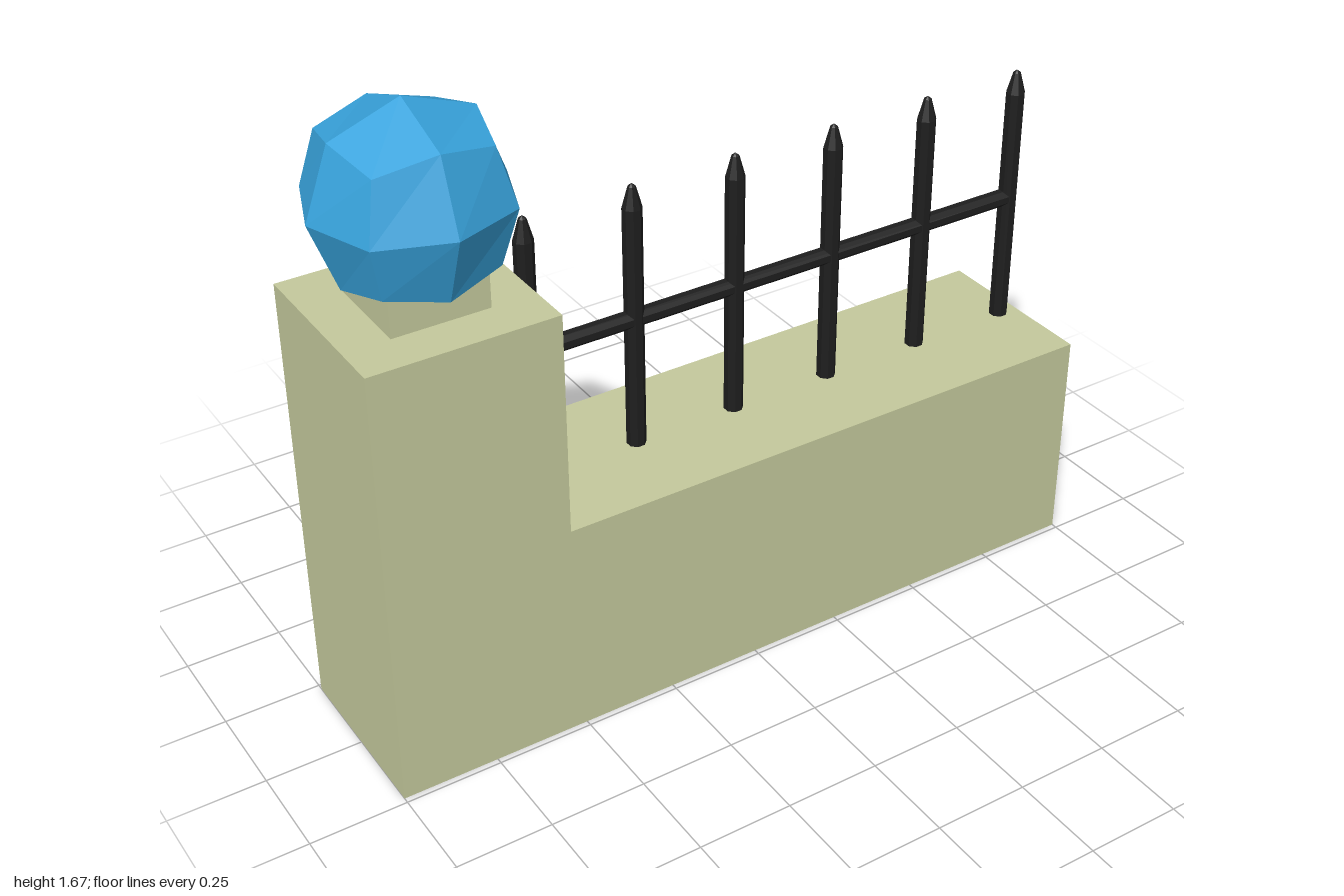
import * as THREE from 'three';

const flat = (color) => new THREE.MeshStandardMaterial({ color, flatShading: true });

export function createModel() {
  const model = new THREE.Group();
  model.name = 'fenceWall';
  const stone = flat(0xc4c99c), blue = flat(0x38a3dc), iron = flat(0x1e1e1e);

  const add = (name, geometry, material, x = 0, y = 0, z = 0, parent = model) => {
    const mesh = new THREE.Mesh(geometry, material);
    mesh.name = name;
    mesh.position.set(x, y, z);
    parent.add(mesh);
    return mesh;
  };

  // L-shaped wall: tall pillar and low wall in one piece
  const depth = 0.47;
  const outline = new THREE.Shape([
    [-1, 0], [1, 0], [1, 0.59], [-0.525, 0.59], [-0.525, 1.177], [-1, 1.177],
  ].map(([x, y]) => new THREE.Vector2(x, y)));
  add('wallAndPillar', new THREE.ExtrudeGeometry(outline, { depth, bevelEnabled: false }),
    stone, 0, 0, -depth / 2);

  // Square neck that carries the ball
  const ballX = -0.762;
  add('ballNeck', new THREE.BoxGeometry(0.245, 0.11, 0.245), stone, ballX, 1.225, 0);

  // Faceted ball: a 2x2x2 cube grid pushed out to a sphere
  const ball = new THREE.BoxGeometry(2, 2, 2, 2, 2, 2);
  const reach = [0, 0.24, 0.176, 0.144]; // face centres, edge middles, corners
  const pos = ball.attributes.position;
  for (let i = 0; i < pos.count; i++) {
    const p = new THREE.Vector3().fromBufferAttribute(pos, i).round();
    p.multiplyScalar(reach[Math.abs(p.x) + Math.abs(p.y) + Math.abs(p.z)]);
    pos.setXYZ(i, p.x, p.y, p.z);
  }
  ball.computeVertexNormals();
  add('ball', ball, blue, ballX, 1.432, 0);

  // Iron railing: six pointed bars joined by one rail
  const railing = new THREE.Group();
  railing.name = 'railing';
  model.add(railing);
  const firstX = -0.49, lastX = 0.945, count = 6;
  const barProfile = [[0, 0.585], [0.025, 0.585], [0.025, 1.245], [0.01, 1.3], [0, 1.308]]
    .map(([r, y]) => new THREE.Vector2(r, y));
  const bar = new THREE.LatheGeometry(barProfile, 8, Math.PI / 8);
  for (let i = 0; i < count; i++) {
    add('bar', bar, iron, firstX + (lastX - firstX) * i / (count - 1), 0, 0, railing);
  }
  const rail = new THREE.CylinderGeometry(0.023, 0.023, lastX - firstX, 8);
  rail.rotateY(Math.PI / 8).rotateZ(Math.PI / 2);
  add('rail', rail, iron, (firstX + lastX) / 2, 0.946, 0, railing);

  return model;
}
